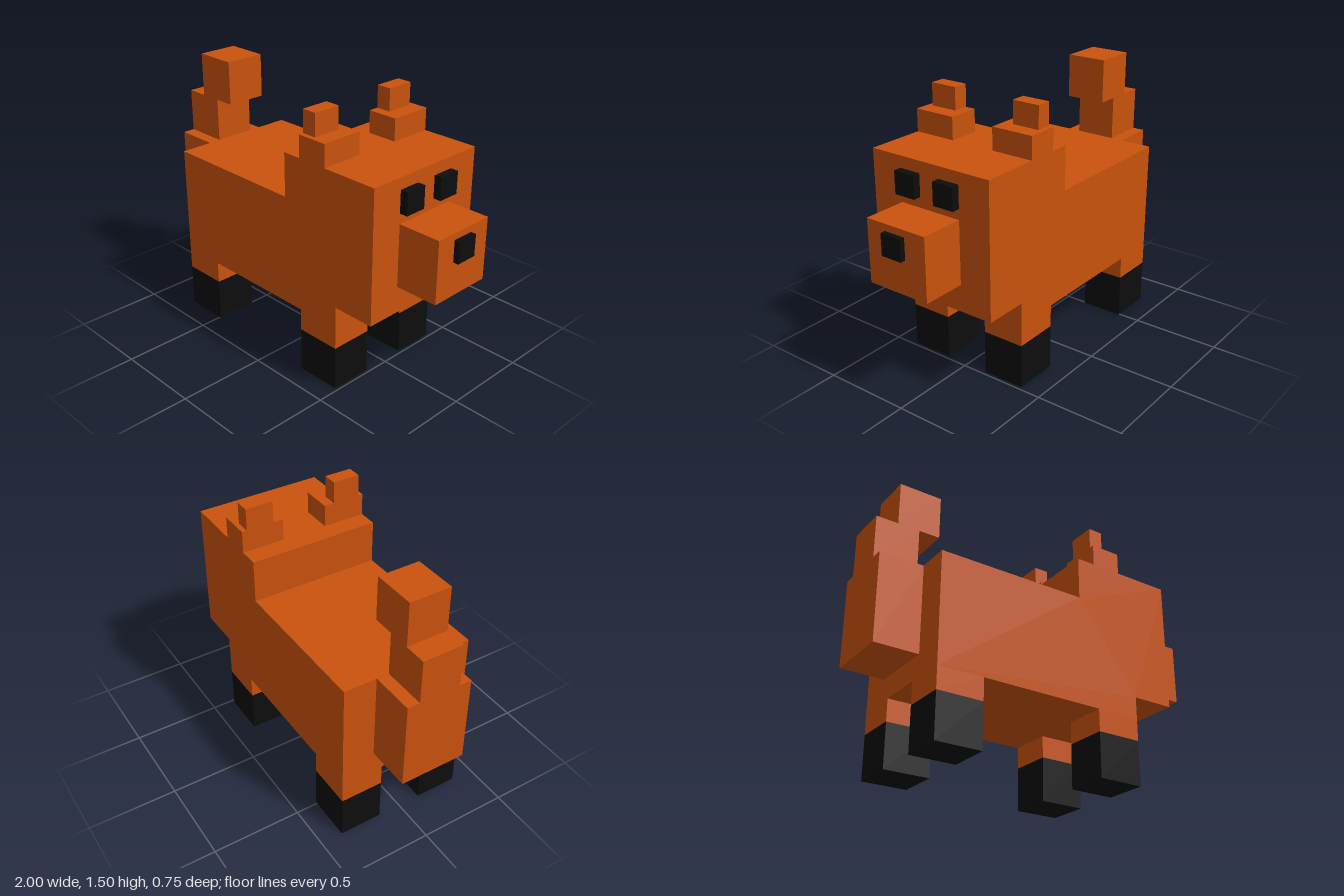
import * as THREE from 'three';

const orange = new THREE.MeshStandardMaterial({ color: 0xc9520d, flatShading: true });
const black = new THREE.MeshStandardMaterial({ color: 0x0d0d0d, flatShading: true });

export function createModel() {
  const model = new THREE.Group();
  model.name = 'blockAnimal';

  // Box given by its extents [min, max] on each axis
  function box(name, [x0, x1], [y0, y1], [z0, z1], material = orange) {
    const mesh = new THREE.Mesh(new THREE.BoxGeometry(x1 - x0, y1 - y0, z1 - z0), material);
    mesh.position.set((x0 + x1) / 2, (y0 + y1) / 2, (z0 + z1) / 2);
    mesh.name = name;
    model.add(mesh);
  }

  // Torso and head share one side profile, the head facing +x
  const profile = [
    [-0.75, 0.375], [0.48, 0.375], [0.48, 0.5], [0.725, 0.5],
    [0.725, 1.245], [0.11, 1.245], [0.11, 1], [-0.75, 1],
  ].map(([x, y]) => new THREE.Vector2(x, y));
  const bodyGeometry = new THREE.ExtrudeGeometry(new THREE.Shape(profile), { depth: 0.746, bevelEnabled: false });
  bodyGeometry.translate(0, 0, -0.373);
  const body = new THREE.Mesh(bodyGeometry, orange);
  body.name = 'bodyAndHead';
  model.add(body);

  // Snout and nose
  box('snout', [0.725, 0.97], [0.65, 0.998], [-0.186, 0.186]);
  box('nose', [0.97, 1], [0.84, 0.96], [-0.057, 0.068], black);

  // Stepped tail, its tip leaning forward
  box('tailBase', [-1, -0.75], [0.5, 1], [-0.187, 0.187]);
  box('tailMiddle', [-1, -0.75], [1, 1.247], [-0.117, 0.117]);
  box('tailTip', [-0.875, -0.63], [1.247, 1.495], [-0.117, 0.117]);

  // Paired parts on both flanks
  for (const [label, s] of [['left', -1], ['right', 1]]) {
    const span = (a, b) => (s > 0 ? [a, b] : [-b, -a]);
    box(label + 'Eye', [0.725, 0.77], [1.055, 1.18], span(0.062, 0.187), black);
    box(label + 'EarBase', [0.22, 0.397], [1.245, 1.37], span(0.13, 0.373));
    box(label + 'EarTip', [0.22, 0.305], [1.37, 1.495], span(0.187, 0.345));

    // Legs with dark feet
    for (const [end, x] of [['Back', [-0.75, -0.49]], ['Front', [0.22, 0.48]]]) {
      box(label + end + 'Leg', x, [0.25, 0.375], span(0.13, 0.373));
      box(label + end + 'Foot', x, [0, 0.25], span(0.13, 0.373), black);
    }
  }

  return model;
}
